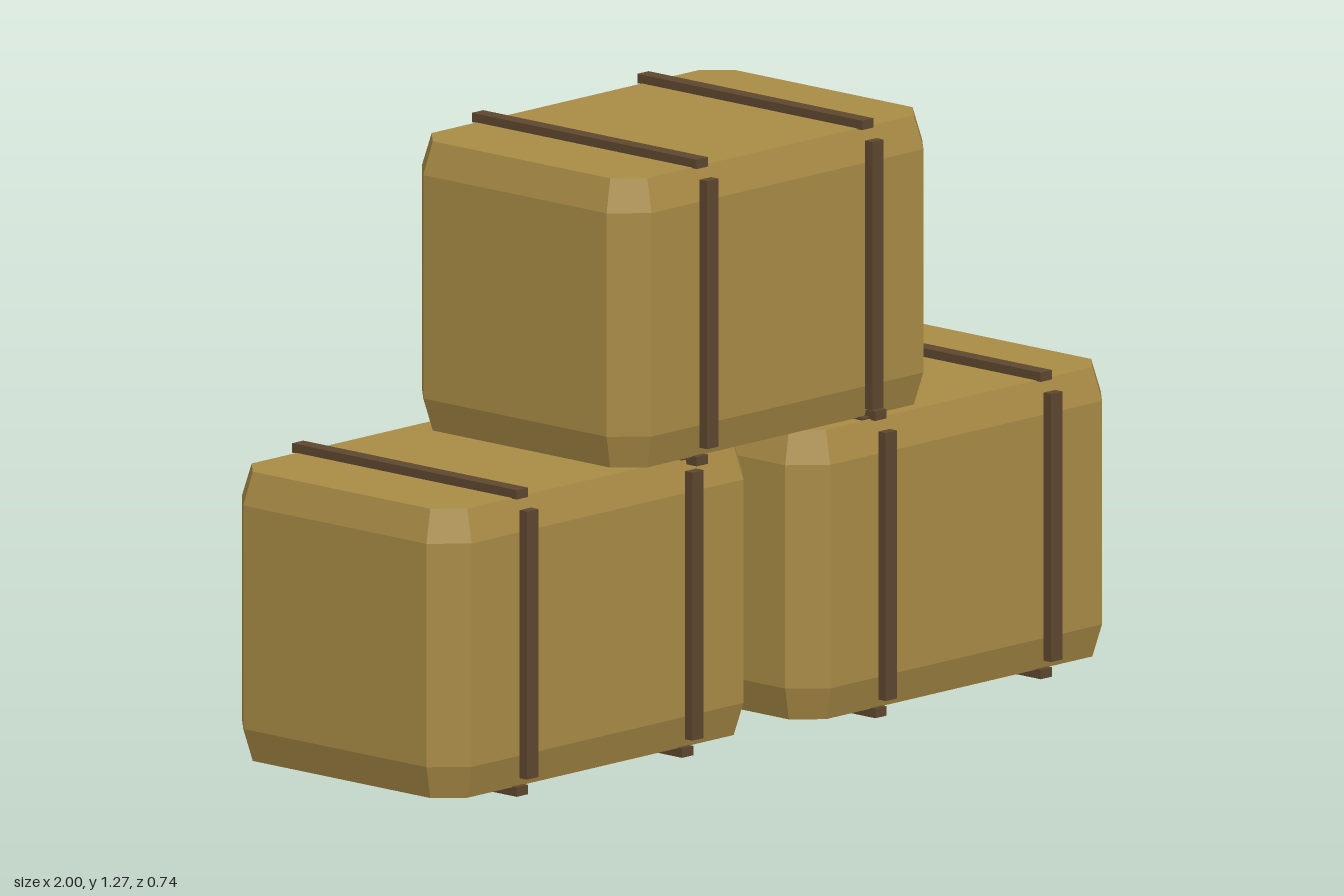
import * as THREE from 'three';

const HX = 0.477, HZ = 0.327, CUT = 0.066; // bale half sizes and corner cut
const HEIGHT = 0.615, BEVEL = 0.07, INSET = 0.02;

// Octagonal plan extruded upward, with a single bevel at top and bottom
function baleGeometry() {
  const shape = new THREE.Shape([
    [HX, -HZ + CUT], [HX, HZ - CUT], [HX - CUT, HZ], [-HX + CUT, HZ],
    [-HX, HZ - CUT], [-HX, -HZ + CUT], [-HX + CUT, -HZ], [HX - CUT, -HZ],
  ].map(([x, y]) => new THREE.Vector2(x, y)));
  const depth = HEIGHT - 2 * BEVEL;
  return new THREE.ExtrudeGeometry(shape, {
    depth, bevelEnabled: true, bevelThickness: BEVEL,
    bevelSize: INSET, bevelOffset: -INSET, bevelSegments: 1,
  }).translate(0, 0, -depth / 2).rotateX(-Math.PI / 2);
}

export function createModel() {
  const straw = new THREE.MeshStandardMaterial({ color: 0xa98b45 });
  straw.name = 'straw';
  const twine = new THREE.MeshStandardMaterial({ color: 0x5e4730 });
  twine.name = 'twine';

  const baleGeo = baleGeometry();
  const uprightGeo = new THREE.BoxGeometry(0.034, 0.57, 0.021);
  const flatGeo = new THREE.BoxGeometry(0.034, 0.02, 0.64);

  const model = new THREE.Group();
  model.name = 'baleStack';

  const add = (parent, name, geo, mat, x = 0, y = 0, z = 0) => {
    const mesh = new THREE.Mesh(geo, mat);
    mesh.name = name;
    mesh.position.set(x, y, z);
    parent.add(mesh);
  };

  // Two bales on the ground, slightly staggered, and one on top
  const places = [
    ['rightBale', -0.523, 0.326, -0.02],
    ['leftBale', 0.521, 0.326, 0.018],
    ['topBale', 0, 0.945, 0],
  ];
  for (const [name, x, y, z] of places) {
    const bale = new THREE.Group();
    bale.name = name;
    bale.position.set(x, y, z);
    add(bale, 'baleBody', baleGeo, straw);
    // Two bands, each made of four straight strips
    for (const sx of [-0.25, 0.25]) {
      for (const s of [-1, 1]) {
        add(bale, s > 0 ? 'frontStrap' : 'backStrap', uprightGeo, twine, sx, 0, s * 0.339);
        add(bale, s > 0 ? 'topStrap' : 'bottomStrap', flatGeo, twine, sx, s * 0.316, 0);
      }
    }
    model.add(bale);
  }
  return model;
}
